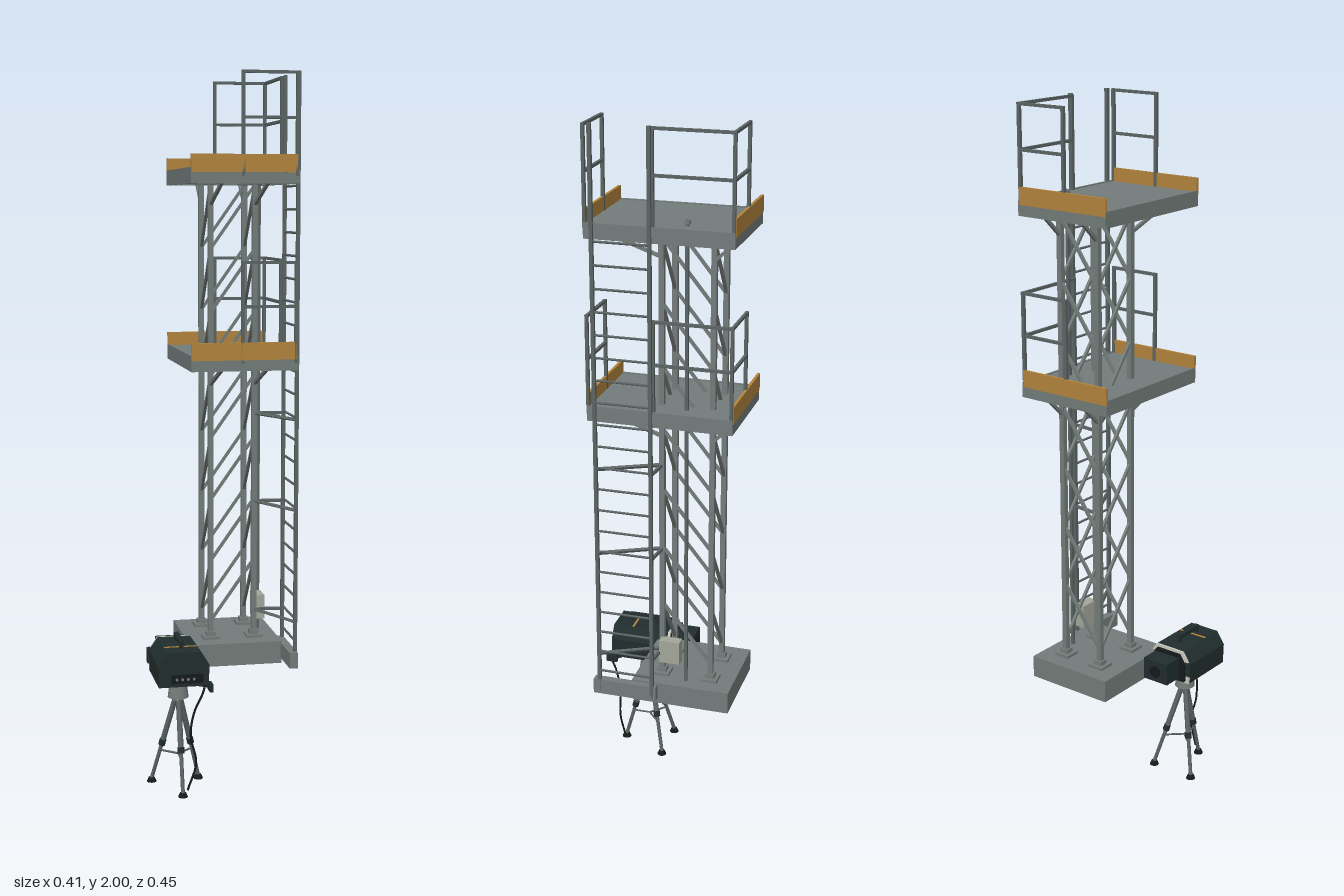
import * as THREE from 'three';

const paint = (name, color) => {
  const m = new THREE.MeshStandardMaterial({ color });
  m.name = name;
  return m;
};

export function createModel() {
  const steel = paint('steel grey', 0x737c7a);
  const rail = paint('rail grey', 0x5c6464);
  const dark = paint('dark housing', 0x212d2d);
  const black = paint('black rubber', 0x151a1a);
  const ochre = paint('ochre boards', 0xb3843c);
  const cream = paint('cream plate', 0xc9c8ba);
  const cabinet = paint('cabinet grey', 0xa3a699);

  const model = new THREE.Group();
  model.name = 'accessTower';
  const group = (name) => {
    const g = new THREE.Group();
    g.name = name;
    model.add(g);
    return g;
  };
  const put = (parent, name, geo, mat) => {
    const m = new THREE.Mesh(geo, mat);
    m.name = name;
    parent.add(m);
    return m;
  };
  // box given by its extents on each axis
  const box = (parent, name, mat, [x0, x1], [y0, y1], [z0, z1]) => {
    const m = put(parent, name, new THREE.BoxGeometry(x1 - x0, y1 - y0, z1 - z0), mat);
    m.position.set((x0 + x1) / 2, (y0 + y1) / 2, (z0 + z1) / 2);
    return m;
  };
  // straight bar between two points; round when sides is given
  const bar = (parent, name, mat, a, b, w, sides = 0) => {
    const p = new THREE.Vector3(...a), q = new THREE.Vector3(...b);
    const len = p.distanceTo(q);
    const geo = sides ? new THREE.CylinderGeometry(w / 2, w / 2, len, sides) : new THREE.BoxGeometry(w, len, w);
    const m = put(parent, name, geo, mat);
    m.position.copy(p).add(q).multiplyScalar(0.5);
    m.quaternion.setFromUnitVectors(new THREE.Vector3(0, 1, 0), q.sub(p).normalize());
    return m;
  };

  const LX = [-0.012, 0.115], LZ = [-0.152, -0.008];

  // foundation
  const base = group('base');
  box(base, 'baseBlock', steel, [-0.085, 0.183], [0.335, 0.4], [-0.222, 0.065]);
  box(base, 'ladderFoot', steel, [0.18, 0.204], [0.35, 0.395], [-0.012, 0.176]);

  // lattice tower
  const tower = group('tower');
  for (const x of LX) for (const z of LZ) {
    bar(tower, 'leg', steel, [x, 0.4, z], [x, 1.71, z], 0.015);
    box(tower, 'legPlate', steel, [x - 0.024, x + 0.024], [0.4, 0.408], [z - 0.024, z + 0.024]);
    box(tower, 'legSocket', steel, [x - 0.013, x + 0.013], [0.408, 0.42], [z - 0.013, z + 0.013]);
  }
  const panel = (1.7 - 0.45) / 7;
  for (let i = 0; i < 7; i++) {
    const y0 = 0.45 + i * panel, y1 = y0 + panel;
    for (const z of LZ) bar(tower, 'brace', steel, [LX[0], y0, z], [LX[1], y1, z], 0.008);
    for (const x of LX) bar(tower, 'brace', steel, [x, y0, LZ[0]], [x, y1, LZ[1]], 0.008);
  }

  // working platforms
  for (const y of [1.195, 1.7]) {
    const deck = group('platform');
    const top = y + 0.043;
    box(deck, 'deckPlate', steel, [-0.097, 0.194], [y + 0.026, y + 0.04], [-0.222, 0.175]);
    for (const x of [-0.1, 0.191]) box(deck, 'sideFascia', steel, [x, x + 0.006], [y, top], [-0.227, 0.181]);
    for (const z of [-0.227, 0.175]) box(deck, 'endFascia', steel, [-0.1, 0.197], [y, top], [z, z + 0.006]);
    for (const x of LX) box(deck, 'mainBeam', steel, [x - 0.007, x + 0.007], [y, y + 0.028], [-0.222, 0.176]);
    for (const z of [...LZ, 0.09]) box(deck, 'crossBeam', steel, [-0.095, 0.192], [y + 0.004, y + 0.028], [z - 0.006, z + 0.006]);
    for (const z of [-0.2285, 0.1745]) box(deck, 'toeBoard', ochre, [-0.1, 0.192], [y + 0.03, y + 0.078], [z, z + 0.008]);
    // knee braces under the deck
    for (const x of LX) {
      bar(deck, 'kneeBrace', steel, [x, y - 0.055, LZ[1]], [x, y + 0.004, 0.16], 0.009);
      bar(deck, 'kneeBrace', steel, [x, y - 0.055, LZ[0]], [x, y + 0.004, -0.215], 0.009);
    }
    // guard rails: back, front and part of the side
    const runs = [
      [[0.042, -0.222], [0.191, -0.222]],
      [[0.042, 0.178], [0.191, 0.178]],
      [[0.191, -0.222], [0.191, -0.006]],
    ];
    for (const [[ax, az], [bx, bz]] of runs) {
      for (const [x, z] of [[ax, az], [bx, bz]]) bar(deck, 'guardPost', rail, [x, y + 0.02, z], [x, y + 0.298, z], 0.009);
      for (const h of [0.175, 0.294]) bar(deck, 'guardRail', rail, [ax, y + h, az], [bx, y + h, bz], 0.008);
    }
  }

  // ladder with stand-offs to the tower
  const ladder = group('ladder');
  const RZ = [0, 0.158];
  for (const z of RZ) bar(ladder, 'ladderRail', rail, [0.199, 0.36, z], [0.199, 2, z], 0.01);
  for (let i = 0; i < 21; i++) {
    const y = 0.425 + i * 0.0635;
    bar(ladder, 'rung', rail, [0.199, y, RZ[0]], [0.199, y, RZ[1]], 0.007, 8);
  }
  for (const y of [0.48, 0.8, 1.055]) for (const z of RZ) {
    bar(ladder, 'standOff', rail, [LX[1], y, LZ[1]], [0.199, y, z], 0.008);
  }

  // conduit and control cabinet
  const service = group('service');
  bar(service, 'conduit', rail, [0.144, 0.4, -0.086], [0.144, 1.756, -0.086], 0.009);
  box(service, 'conduitCap', steel, [0.137, 0.151], [1.745, 1.755], [-0.093, -0.08]);
  box(service, 'controlCabinet', cabinet, [0.118, 0.148], [0.45, 0.52], [-0.067, -0.006]);

  // tripod
  const tripod = group('tripod');
  const CX = -0.128, CZ = 0.11;
  const hub = put(tripod, 'hub', new THREE.CylinderGeometry(0.024, 0.03, 0.045, 16), steel);
  hub.position.set(CX, 0.29, CZ);
  box(tripod, 'mountPlate', steel, [CX - 0.045, CX + 0.045], [0.312, 0.325], [CZ - 0.05, CZ + 0.05]);
  const feet = [[CX, 0.187], [CX - 0.068, 0.05], [CX + 0.068, 0.05]];
  for (const [fx, fz] of feet) {
    const at = (t) => [CX + (fx - CX) * t, 0.29 - 0.28 * t, CZ + (fz - CZ) * t];
    bar(tripod, 'upperLeg', rail, at(0.12), at(0.6), 0.016, 10);
    bar(tripod, 'lowerLeg', rail, at(0.55), at(1), 0.011, 10);
    bar(tripod, 'legClamp', dark, at(0.56), at(0.62), 0.02, 10);
    bar(tripod, 'spreader', rail, [CX, 0.1, CZ], at(0.68), 0.006, 6);
    const foot = put(tripod, 'foot', new THREE.CylinderGeometry(0.009, 0.014, 0.012, 12), black);
    foot.position.set(fx, 0.006, fz);
  }
  bar(tripod, 'panArm', dark, [CX + 0.03, 0.32, 0.16], [-0.052, 0.322, 0.2], 0.009);
  box(tripod, 'panGrip', dark, [-0.058, -0.048], [0.31, 0.332], [0.19, 0.224]);

  // hanging cable
  const cablePath = new THREE.CatmullRomCurve3([
    [-0.066, 0.335, 0.2], [-0.075, 0.31, 0.216], [-0.1, 0.25, 0.21],
    [-0.108, 0.18, 0.2], [-0.092, 0.1, 0.196], [-0.115, 0.02, 0.19],
  ].map((p) => new THREE.Vector3(...p)));
  put(tripod, 'cable', new THREE.TubeGeometry(cablePath, 30, 0.003, 6), black);

  // instrument head
  const head = group('instrumentHead');
  const outline = new THREE.Shape([
    [-0.07, 0.325], [0.07, 0.325], [0.072, 0.385], [0.047, 0.422], [-0.047, 0.422], [-0.072, 0.385],
  ].map((p) => new THREE.Vector2(...p)));
  const slice = (name, mat, z0, z1, scale = 1) => {
    const m = put(head, name, new THREE.ExtrudeGeometry(outline, { depth: z1 - z0, bevelEnabled: false }), mat);
    m.scale.set(scale, scale, 1);
    m.position.set(CX, 0.37 * (1 - scale), z0);
  };
  slice('housing', dark, 0.036, 0.208);
  slice('rearFlange', cream, 0.028, 0.035);
  slice('rearGasket', black, 0.018, 0.028, 0.85);
  box(head, 'rearBox', dark, [-0.17, -0.086], [0.34, 0.405], [-0.04, 0.019]);
  box(head, 'sideLatch', dark, [-0.205, -0.186], [0.35, 0.392], [0.025, 0.05]);
  box(head, 'topBand', ochre, [CX - 0.046, CX + 0.046], [0.421, 0.4235], [0.144, 0.15]);
  for (const z of [0.08, 0.165]) bar(head, 'handlePost', dark, [CX, 0.42, z], [CX, 0.442, z], 0.01);
  box(head, 'handleGrip', dark, [CX - 0.007, CX + 0.007], [0.434, 0.446], [0.075, 0.17]);
  box(head, 'frontPanel', black, [CX - 0.035, CX + 0.055], [0.335, 0.36], [0.207, 0.211]);
  for (let i = 0; i < 4; i++) {
    const stud = put(head, 'frontStud', new THREE.CylinderGeometry(0.004, 0.004, 0.004, 10), steel);
    stud.rotation.x = Math.PI / 2;
    stud.position.set(CX - 0.02 + i * 0.016, 0.347, 0.2115);
  }
  const lens = put(head, 'rearPort', new THREE.CylinderGeometry(0.018, 0.018, 0.006, 20), black);
  lens.rotation.x = Math.PI / 2;
  lens.position.set(CX, 0.372, -0.041);

  return model;
}
